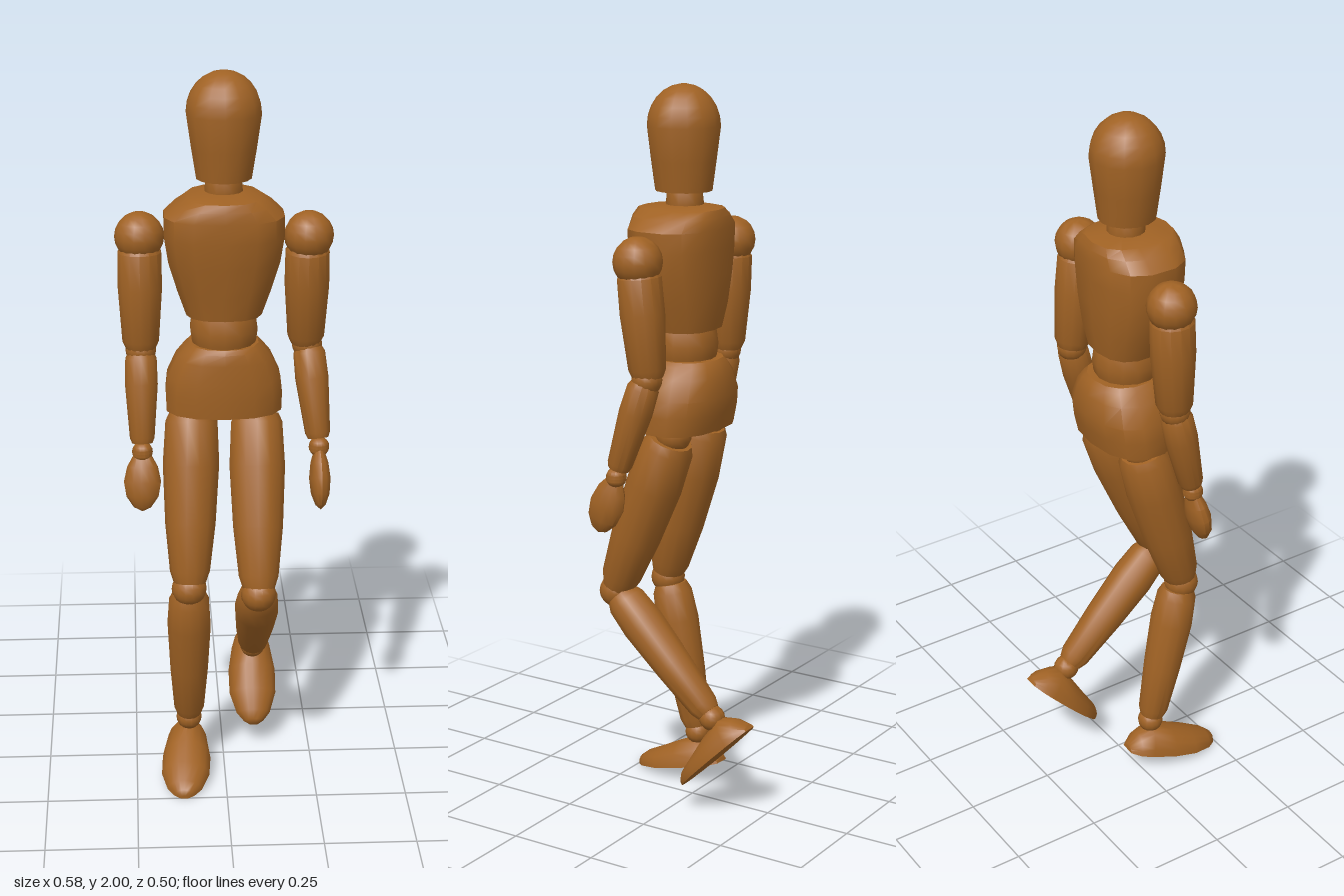
import * as THREE from 'three';
import { toCreasedNormals } from 'three/addons/utils/BufferGeometryUtils.js';

const wood = new THREE.MeshStandardMaterial({ color: 0xa06224 });
wood.name = 'warm wood';

const UP = new THREE.Vector3(0, 1, 0);

function part(parent, name, geometry, crease = 0.65) {
  const mesh = new THREE.Mesh(toCreasedNormals(geometry, crease), wood);
  mesh.name = name;
  parent.add(mesh);
  return mesh;
}

// Skin over equal-sized rings, closed at both ends
function loft(rings) {
  const n = rings[0].length;
  const pos = rings.flat(2);
  const index = [];
  for (let i = 0; i < rings.length - 1; i++) {
    for (let j = 0; j < n; j++) {
      const k = (j + 1) % n;
      const a = i * n + j, b = i * n + k, c = b + n, d = a + n;
      index.push(a, b, c, a, c, d);
    }
  }
  [0, rings.length - 1].forEach((r, end) => {
    const center = [0, 1, 2].map(k => rings[r].reduce((s, p) => s + p[k], 0) / n);
    const c = pos.length / 3;
    pos.push(...center);
    for (let j = 0; j < n; j++) {
      const a = r * n + j, b = r * n + (j + 1) % n;
      if (end) index.push(c, a, b); else index.push(c, b, a);
    }
  });
  const g = new THREE.BufferGeometry();
  g.setAttribute('position', new THREE.Float32BufferAttribute(pos, 3));
  g.setIndex(index);
  return g;
}

// Rounded horizontal sections: [y, half width, front z, back z]
function body(sections, power, sides = 14) {
  const bend = v => Math.sign(v) * Math.abs(v) ** power;
  return loft(sections.map(([y, w, front, back]) =>
    Array.from({ length: sides }, (_, i) => {
      const a = i / sides * Math.PI * 2;
      return [w * bend(Math.sin(a)), y, (front + back) / 2 + (front - back) / 2 * bend(Math.cos(a))];
    })));
}

// Turned piece from a to b; profile holds [fraction of length, radius]
function limb(parent, name, a, b, profile, sx = 1, sz = 1) {
  const from = new THREE.Vector3(...a), dir = new THREE.Vector3(...b).sub(from);
  const length = dir.length();
  const g = new THREE.LatheGeometry(profile.map(([t, r]) => new THREE.Vector2(r, t * length)), 14);
  g.scale(sx, 1, sz);
  const mesh = part(parent, name, g);
  mesh.position.copy(from);
  mesh.quaternion.setFromUnitVectors(UP, dir.normalize());
}

function ball(parent, name, center, radius) {
  part(parent, name, new THREE.SphereGeometry(radius, 14, 10)).position.set(...center);
}

const UPPER_ARM = [[0, 0], [0, 0.048], [0.06, 0.059], [0.4, 0.06], [0.92, 0.05], [1, 0.04], [1, 0]];
const FOREARM = [[0, 0], [0, 0.034], [0.07, 0.043], [0.35, 0.045], [0.94, 0.034], [1, 0.028], [1, 0]];
const HAND = [[0, 0], [0.03, 0.022], [0.25, 0.042], [0.5, 0.051], [0.75, 0.044], [0.93, 0.024], [1, 0]];
const THIGH = [[0, 0], [0, 0.06], [0.05, 0.071], [0.3, 0.077], [0.65, 0.069], [0.93, 0.055], [1, 0.044], [1, 0]];
const SHIN = [[0, 0], [0, 0.045], [0.06, 0.056], [0.25, 0.061], [0.6, 0.054], [0.94, 0.043], [1, 0.034], [1, 0]];

function arm(side, j) {
  const g = new THREE.Group();
  g.name = side + 'Arm';
  ball(g, 'shoulder', j.shoulder, 0.066);
  limb(g, 'upperArm', j.armTop, j.armEnd, UPPER_ARM);
  ball(g, 'elbow', j.elbow, 0.041);
  limb(g, 'forearm', j.foreTop, j.foreEnd, FOREARM);
  ball(g, 'wrist', j.wrist, 0.028);
  limb(g, 'hand', j.wrist, j.fingertip, HAND, ...j.handScale);
  return g;
}

// Flat-soled foot, heel at the origin and toe along +z: [z, half width, height]
function foot(parent, heel, pitch, yaw) {
  const sections = [[0, 0.022, 0.016], [0.025, 0.045, 0.05], [0.06, 0.056, 0.077], [0.13, 0.068, 0.066],
    [0.2, 0.067, 0.048], [0.26, 0.048, 0.034], [0.285, 0.028, 0.022], [0.296, 0.01, 0.01]];
  const mesh = part(parent, 'foot', loft(sections.map(([z, w, h]) =>
    Array.from({ length: 11 }, (_, i) => {
      const a = i / 10 * Math.PI;
      return [w * Math.cos(a), h * Math.sin(a), z];
    }))), 0.8);
  mesh.position.set(...heel);
  mesh.rotation.set(pitch, yaw, 0, 'YXZ');
}

function leg(side, j) {
  const g = new THREE.Group();
  g.name = side + 'Leg';
  ball(g, 'hip', j.hip, 0.05);
  limb(g, 'thigh', j.thighTop, j.thighEnd, THIGH);
  ball(g, 'knee', j.knee, 0.048);
  limb(g, 'shin', j.shinTop, j.shinEnd, SHIN);
  ball(g, 'ankle', j.ankle, 0.036);
  foot(g, j.heel, j.pitch, j.yaw);
  return g;
}

export function createModel() {
  const model = new THREE.Group();
  model.name = 'jointedMannequin';

  // Head: tapered jaw under a round crown
  const head = [[1.72, 0.074, 0.105, -0.05], [1.8, 0.087, 0.115, -0.06]];
  for (let i = 0; i <= 6; i++) {
    const a = i / 6 * 1.5, r = 0.1 * Math.cos(a);
    head.push([1.89 + 0.11 * Math.sin(a), r, 0.027 + r * 0.98, 0.027 - r * 0.98]);
  }
  part(model, 'head', body(head, 1));
  limb(model, 'neck', [0, 1.65, 0.023], [0, 1.74, 0.025],
    [[0, 0], [0, 0.046], [0.4, 0.051], [0.75, 0.048], [1, 0.04], [1, 0]]);

  // Trunk
  part(model, 'chest', body([
    [1.352, 0.102, 0.115, -0.068], [1.42, 0.126, 0.128, -0.08], [1.5, 0.15, 0.145, -0.086],
    [1.57, 0.161, 0.155, -0.089], [1.625, 0.161, 0.158, -0.09], [1.655, 0.13, 0.156, -0.087],
    [1.675, 0.098, 0.148, -0.08], [1.684, 0.05, 0.085, -0.035],
  ], 0.8));
  limb(model, 'waist', [0, 1.25, 0.025], [0, 1.37, 0.025],
    [[0, 0], [0, 0.078], [0.25, 0.088], [0.5, 0.092], [0.8, 0.087], [1, 0.078], [1, 0]]);
  part(model, 'pelvis', body([
    [1.12, 0.11, 0.07, -0.045], [1.08, 0.158, 0.122, -0.088], [1.13, 0.16, 0.126, -0.1],
    [1.175, 0.155, 0.127, -0.106], [1.23, 0.13, 0.126, -0.099], [1.26, 0.106, 0.124, -0.088],
    [1.272, 0.094, 0.115, -0.078],
  ], 0.85));

  // Arms
  model.add(arm('left', {
    shoulder: [0.225, 1.56, 0.024], armTop: [0.222, 1.535, 0.023], armEnd: [0.222, 1.255, -0.004],
    elbow: [0.226, 1.25, -0.003], foreTop: [0.23, 1.245, 0], foreEnd: [0.254, 1.005, 0.07],
    wrist: [0.256, 0.982, 0.076], fingertip: [0.258, 0.822, 0.136], handScale: [0.56, 1],
  }));
  model.add(arm('right', {
    shoulder: [-0.222, 1.56, 0.014], armTop: [-0.222, 1.535, 0.016], armEnd: [-0.222, 1.255, 0.028],
    elbow: [-0.222, 1.25, 0.029], foreTop: [-0.222, 1.245, 0.031], foreEnd: [-0.222, 1.005, 0.087],
    wrist: [-0.222, 0.982, 0.092], fingertip: [-0.224, 0.822, 0.127], handScale: [1, 0.62],
  }));

  // Legs: right planted, left swinging through
  model.add(leg('left', {
    hip: [0.09, 1.075, 0.002], thighTop: [0.09, 1.058, 0.012], thighEnd: [0.088, 0.615, 0.19],
    knee: [0.087, 0.6, 0.195], shinTop: [0.087, 0.588, 0.178], shinEnd: [0.09, 0.3, -0.11],
    ankle: [0.09, 0.287, -0.122], heel: [0.09, 0.28, -0.243], pitch: 0.785, yaw: 0,
  }));
  model.add(leg('right', {
    hip: [-0.087, 1.075, 0.012], thighTop: [-0.087, 1.065, 0.018], thighEnd: [-0.098, 0.615, 0.145],
    knee: [-0.1, 0.598, 0.146], shinTop: [-0.1, 0.58, 0.136], shinEnd: [-0.1, 0.165, 0.05],
    ankle: [-0.1, 0.147, 0.045], heel: [-0.1, 0.07, -0.035], pitch: 0.236, yaw: -0.07,
  }));

  return model;
}
